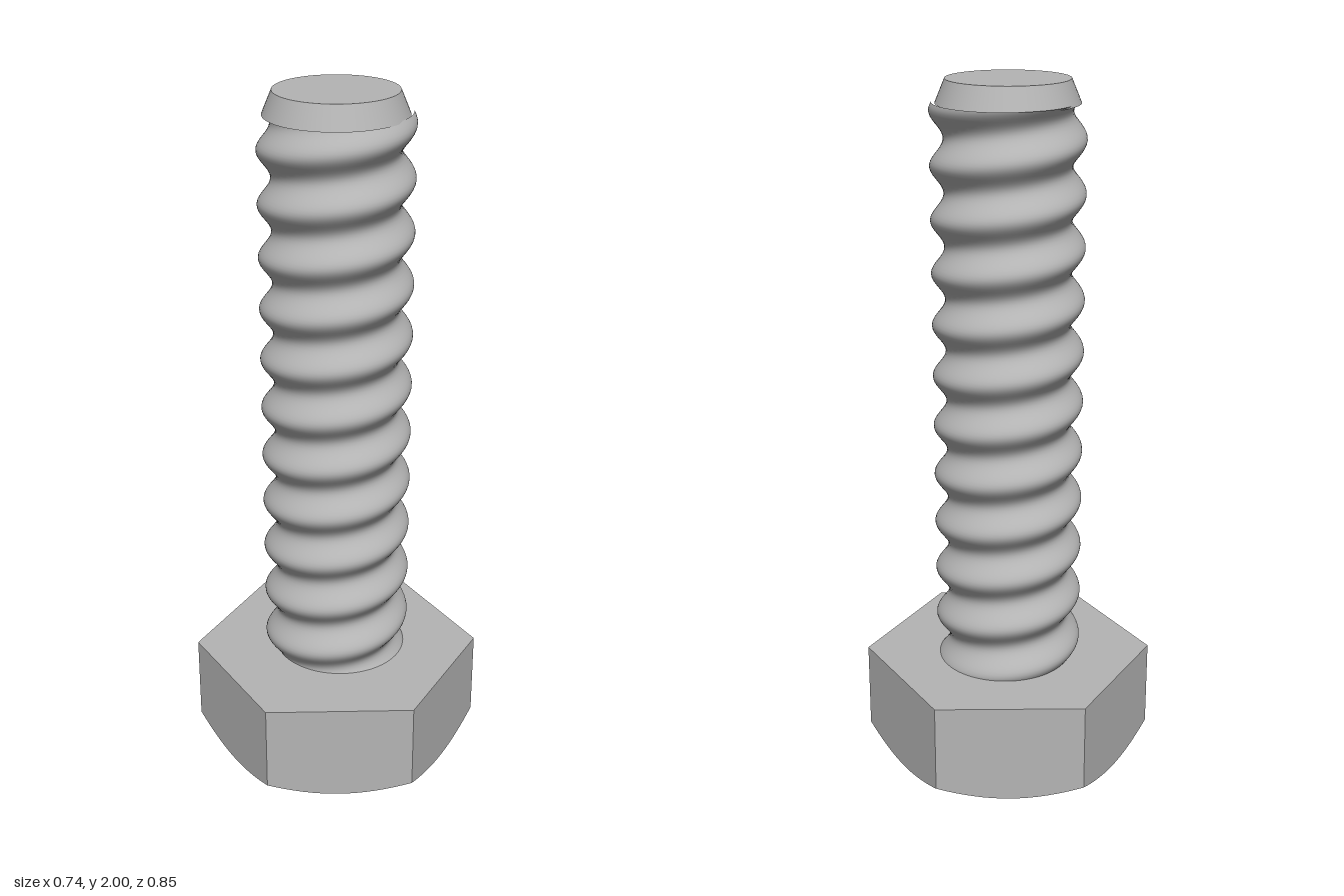
import * as THREE from 'three';

const TAU = Math.PI * 2;

// Hexagonal head whose lower corners are cut by a cone
function headGeometry() {
  const apothem = 0.368, faceRadius = 0.36, height = 0.3, slope = 0.62;
  const steps = 16, n = 6 * steps;
  const rings = [[], [], [], [], []];
  for (let i = 0; i <= n; i++) {
    // even steps along each flat side
    const side = Math.floor(i / steps) * Math.PI / 3;
    const a = side + Math.atan(Math.tan(Math.PI / 6) * (2 * (i % steps) / steps - 1));
    const hex = apothem / Math.cos(a - side);
    const at = (r, y) => new THREE.Vector3(r * Math.cos(a), y, -r * Math.sin(a));
    rings[0].push(at(0, 0));
    rings[1].push(at(faceRadius, 0));
    rings[2].push(at(hex, (hex - faceRadius) * slope));
    rings[3].push(at(hex, height));
    rings[4].push(at(0, height));
  }
  const points = [];
  for (let k = 0; k < 4; k++) {
    for (let i = 0; i < n; i++) {
      const a = rings[k][i], b = rings[k][i + 1], A = rings[k + 1][i], B = rings[k + 1][i + 1];
      if (k > 0) points.push(a, b, k === 3 ? A : B);
      if (k < 3) points.push(a, B, A);
    }
  }
  const geometry = new THREE.BufferGeometry().setFromPoints(points);
  geometry.computeVertexNormals();
  return geometry;
}

// Right-handed thread: the radius follows a wave that climbs around the shank
function threadGeometry() {
  const bottom = 0.29, top = 1.94, pitch = 0.149, crestY = 0.413;
  const mean = 0.195, depth = 0.019, k = TAU / pitch;
  const geometry = new THREE.CylinderGeometry(1, 1, top - bottom, 72, 176, true);
  geometry.translate(0, (top + bottom) / 2, 0);
  const pos = geometry.attributes.position, normal = geometry.attributes.normal;
  const v = new THREE.Vector3();
  for (let i = 0; i < pos.count; i++) {
    const y = pos.getY(i);
    const a = Math.atan2(-pos.getZ(i), pos.getX(i));
    const c = Math.cos(a), s = Math.sin(a);
    const phase = k * (y - crestY) - a;
    const wave = depth * Math.sin(phase);
    const r = mean + depth * Math.cos(phase);
    pos.setXYZ(i, r * c, y, -r * s);
    v.set(c + wave / r * s, wave * k, -s + wave / r * c).normalize();
    normal.setXYZ(i, v.x, v.y, v.z);
  }
  return geometry;
}

export function createModel() {
  const steel = new THREE.MeshStandardMaterial({ color: 0xb4b4b4 });
  steel.name = 'steel grey';
  const model = new THREE.Group();
  model.name = 'hexBolt';
  const add = (name, geometry, y = 0) => {
    const mesh = new THREE.Mesh(geometry, steel);
    mesh.name = name;
    mesh.position.y = y;
    model.add(mesh);
  };

  add('hexHead', headGeometry());
  add('threadedShank', threadGeometry());

  // Chamfered tip closing the thread
  add('chamferedTip', new THREE.CylinderGeometry(0.17, 0.197, 0.065, 72), 1.9675);

  return model;
}
